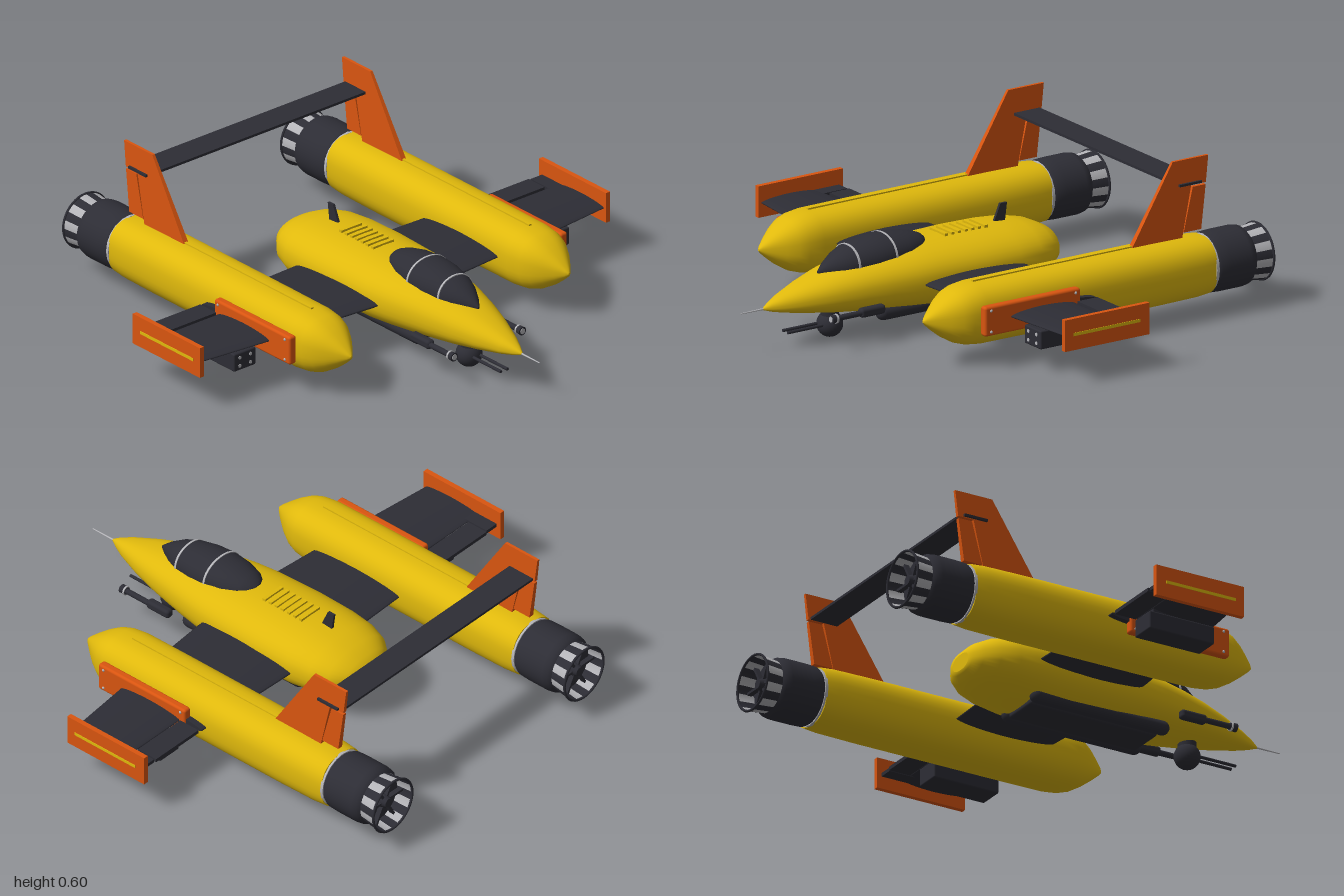
import * as THREE from 'three';
import { RoundedBoxGeometry } from 'three/addons/geometries/RoundedBoxGeometry.js';

const paint = (name, color, side = THREE.FrontSide) => {
  const m = new THREE.MeshStandardMaterial({ color, side });
  m.name = name;
  return m;
};

// Closed skin over superelliptic sections [z, cx, cy, halfWidth, top, bottom], ordered from +z to -z
function loft(stations, power = 2, n = 40) {
  const pos = [], idx = [];
  for (const [z, cx, cy, w, top, bottom] of stations) {
    for (let j = 0; j < n; j++) {
      const a = (j / n) * Math.PI * 2, c = Math.cos(a), s = Math.sin(a);
      const h = s > 0 ? top - cy : cy - bottom;
      pos.push(cx + w * Math.sign(c) * Math.abs(c) ** (2 / power),
        cy + h * Math.sign(s) * Math.abs(s) ** (2 / power), z);
    }
  }
  const last = stations.length - 1;
  for (let i = 0; i < last; i++) for (let j = 0; j < n; j++) {
    const k = (j + 1) % n, a = i * n + j, b = i * n + k;
    idx.push(a, a + n, b, a + n, b + n, b);
  }
  // flat end caps with their own vertices
  for (const [i, flip] of [[0, false], [last, true]]) {
    const base = pos.length / 3;
    pos.push(stations[i][1], stations[i][2], stations[i][0]);
    for (let j = 0; j < n; j++) pos.push(...pos.slice((i * n + j) * 3, (i * n + j) * 3 + 3));
    for (let j = 0; j < n; j++) {
      const a = base + 1 + j, b = base + 1 + (j + 1) % n;
      idx.push(base, flip ? b : a, flip ? a : b);
    }
  }
  const g = new THREE.BufferGeometry();
  g.setAttribute('position', new THREE.Float32BufferAttribute(pos, 3));
  g.setIndex(idx);
  g.computeVertexNormals();
  return g;
}

// Wing panel from rows [x, front z, rear z, half thickness]
function wingPanel(rows) {
  const sorted = [...rows].sort((a, b) => b[0] - a[0]);
  return loft(sorted.map(([x, f, r, t]) => [x, -(f + r) / 2, 0.19, (f - r) / 2, 0.19 + t, 0.19 - t]), 1.8, 32)
    .rotateY(Math.PI / 2);
}

// Vertical plate from [z, y] corners, thinning upwards
function finPlate(points) {
  const g = new THREE.ExtrudeGeometry(new THREE.Shape(points.map(p => new THREE.Vector2(...p))),
    { depth: 0.022, bevelEnabled: false });
  g.translate(0, 0, -0.011).rotateY(-Math.PI / 2);
  const p = g.attributes.position;
  for (let i = 0; i < p.count; i++) p.setX(i, p.getX(i) * (1 - 1.6 * (p.getY(i) - 0.3)));
  g.computeVertexNormals();
  return g;
}

export function createModel() {
  const model = new THREE.Group();
  const yellow = paint('yellow', 0xe0b90c);
  const orange = paint('orange', 0xd95510);
  const dark = paint('charcoal', 0x2d2d35, THREE.DoubleSide);
  const light = paint('lightGrey', 0xb4b4b8, THREE.DoubleSide);

  const add = (name, geo, mat, x = 0, y = 0, z = 0) => {
    const m = new THREE.Mesh(geo, mat);
    m.name = name;
    m.position.set(x, y, z);
    model.add(m);
    return m;
  };
  const box = (name, mat, w, h, d, x, y, z) => add(name, new THREE.BoxGeometry(w, h, d), mat, x, y, z);
  // cylinder along z; r1 at the rear, r2 at the front
  const rod = (name, mat, r1, r2, len, x, y, z) =>
    add(name, new THREE.CylinderGeometry(r1, r2, len, 20).rotateX(-Math.PI / 2), mat, x, y, z);

  // Fuselage
  add('fuselage', loft([
    [0.88, 0, 0.16, 0.004, 0.164, 0.156], [0.85, 0, 0.16, 0.022, 0.182, 0.146],
    [0.8, 0, 0.162, 0.047, 0.203, 0.135], [0.7, 0, 0.17, 0.086, 0.236, 0.119],
    [0.6, 0, 0.178, 0.117, 0.263, 0.105], [0.5, 0, 0.185, 0.142, 0.284, 0.094],
    [0.4, 0, 0.19, 0.164, 0.298, 0.085], [0.3, 0, 0.19, 0.181, 0.307, 0.077],
    [0.2, 0, 0.19, 0.192, 0.312, 0.07], [0, 0, 0.19, 0.2, 0.315, 0.066],
    [-0.15, 0, 0.19, 0.198, 0.312, 0.075], [-0.25, 0, 0.19, 0.187, 0.304, 0.09],
    [-0.32, 0, 0.192, 0.163, 0.288, 0.108], [-0.37, 0, 0.195, 0.122, 0.264, 0.13],
    [-0.395, 0, 0.197, 0.08, 0.24, 0.152], [-0.4, 0, 0.197, 0.055, 0.228, 0.165]], 2.35), yellow);
  rod('pitotTube', light, 0.004, 0.002, 0.12, 0, 0.16, 0.92);

  // Canopy with two frame hoops
  add('canopy', loft([
    [0.635, 0, 0.255, 0.004, 0.262, 0.25], [0.6, 0, 0.26, 0.032, 0.292, 0.25],
    [0.55, 0, 0.265, 0.062, 0.322, 0.25], [0.5, 0, 0.27, 0.082, 0.341, 0.25],
    [0.42, 0, 0.275, 0.097, 0.356, 0.25], [0.35, 0, 0.28, 0.1, 0.36, 0.25],
    [0.27, 0, 0.285, 0.091, 0.354, 0.25], [0.21, 0, 0.29, 0.071, 0.341, 0.25],
    [0.18, 0, 0.29, 0.05, 0.329, 0.25], [0.165, 0, 0.29, 0.025, 0.317, 0.25]], 2.1), dark);
  for (const [z, cy, w, top] of [[0.504, 0.27, 0.084, 0.343], [0.349, 0.28, 0.102, 0.362]])
    add('canopyFrame', loft([[z, 0, cy, w, top, 0.25], [z - 0.008, 0, cy, w, top, 0.25]], 2.1), light);

  // Dorsal grille and blade antenna
  for (let i = 0; i < 7; i++) box('grilleSlat', yellow, 0.1, 0.012, 0.014, 0, 0.315, 0.09 - i * 0.03);
  add('antenna', finPlate([[-0.155, 0.305], [-0.185, 0.375], [-0.215, 0.375], [-0.205, 0.305]]), dark)
    .scale.x = 0.5;

  // Chin turret with twin barrels
  add('turretBall', new THREE.SphereGeometry(0.05, 28, 18), dark, 0, 0.05, 0.58);
  rod('turretMount', dark, 0.035, 0.035, 0.04, 0, 0.1, 0.58).rotation.x = Math.PI / 2;
  for (const s of [-1, 1]) rod('turretBarrel', dark, 0.006, 0.006, 0.17, s * 0.016, 0.054, 0.695);

  // Belly bay
  add('bellyPanel', new RoundedBoxGeometry(0.16, 0.03, 0.55, 3, 0.012), dark, 0, 0.074, 0.13);

  // Wing centre section
  add('innerWing', wingPanel([[0.67, 0.238, -0.156, 0.019], [0.2, 0.278, -0.172, 0.025],
    [-0.2, 0.278, -0.172, 0.025], [-0.67, 0.238, -0.156, 0.019]]), dark);

  for (const s of [-1, 1]) {
    const bx = s * 0.53, by = 0.185;

    // Belly tube and cheek gun
    add('bellyTube', new THREE.CapsuleGeometry(0.028, 0.54, 6, 16).rotateX(Math.PI / 2), dark, s * 0.1, 0.086, 0.14);
    add('gunBody', new RoundedBoxGeometry(0.034, 0.036, 0.11, 3, 0.012), dark, s * 0.163, 0.128, 0.505);
    rod('gunBarrel', dark, 0.011, 0.011, 0.14, s * 0.166, 0.128, 0.61);
    rod('gunMuzzle', dark, 0.015, 0.017, 0.026, s * 0.166, 0.128, 0.677);
    rod('muzzleRing', light, 0.018, 0.018, 0.007, s * 0.166, 0.128, 0.668);
    rod('muzzleFace', light, 0.011, 0.011, 0.003, s * 0.166, 0.128, 0.691);

    // Boom
    add('boom', loft([[0.53, 0.004], [0.52, 0.016], [0.49, 0.042], [0.45, 0.073], [0.41, 0.097], [0.37, 0.11],
      [0.31, 0.117], [0.1, 0.118], [-0.5, 0.118], [-0.66, 0.116], [-0.72, 0.111]]
      .map(([z, r]) => [z, 0, by, r * 0.98, by + r, by - r]), 2.5).translate(bx, 0, 0), yellow);
    box('boomRidge', yellow, 0.012, 0.012, 0.72, bx, 0.302, -0.05);

    // Engine housing, nozzle petals and inner hub
    const turned = pts => new THREE.LatheGeometry(pts.map(p => new THREE.Vector2(...p)), 40).rotateX(-Math.PI / 2);
    rod('engineRing', light, 0.113, 0.113, 0.012, bx, by, -0.722);
    add('engineHousing', turned([[0.108, 0.728], [0.115, 0.74], [0.117, 0.78], [0.117, 0.87], [0.113, 0.893],
      [0.1, 0.905]]), dark, bx, by);
    const petals = 20;
    for (let i = 0; i < petals; i++)
      add('nozzlePetal', new THREE.CylinderGeometry(0.108, 0.1, 0.075, 2, 1, true, i / petals * Math.PI * 2,
        Math.PI * 2 / petals).rotateX(-Math.PI / 2), i % 2 ? light : dark, bx, by, -0.9375);
    add('nozzleRim', new THREE.TorusGeometry(0.108, 0.005, 8, 40), dark, bx, by, -0.975);
    rod('nozzleBack', dark, 0.1, 0.1, 0.01, bx, by, -0.903);
    rod('nozzleHub', dark, 0.018, 0.035, 0.05, bx, by, -0.93);
    for (let i = 0; i < 3; i++)
      box('nozzleVane', dark, 0.195, 0.01, 0.02, bx, by, -0.93).rotation.z = i * Math.PI / 3;

    // Tail fin with separate rudder
    add('tailFin', finPlate([[-0.4, 0.295], [-0.59, 0.6], [-0.75, 0.6], [-0.738, 0.497], [-0.672, 0.497],
      [-0.628, 0.295]]), orange, bx);
    add('rudder', finPlate([[-0.636, 0.32], [-0.679, 0.489], [-0.737, 0.489], [-0.715, 0.32]]), orange, bx);
    box('stabilizerCap', dark, 0.018, 0.009, 0.1, s * 0.538, 0.505, -0.665);

    // Root plate with rivets
    add('rootPlate', new RoundedBoxGeometry(0.034, 0.115, 0.43, 3, 0.01), orange, s * 0.66, 0.188, 0.137);
    for (const y of [0.147, 0.229]) for (const z of [0.325, -0.055])
      add('rivet', new THREE.SphereGeometry(0.006, 10, 8), light, s * 0.676, y, z);

    // Outer wing, aileron and tip plate
    add('outerWing', wingPanel([[s * 0.64, 0.241, -0.052, 0.019], [s * 0.985, 0.205, -0.052, 0.015]]), dark);
    box('aileron', dark, 0.235, 0.014, 0.09, s * 0.799, 0.19, -0.104);
    box('wingTrailingBlock', dark, 0.06, 0.014, 0.12, s * 0.952, 0.19, -0.084);
    box('tipPlate', orange, 0.02, 0.122, 0.38, s * 0.988, 0.195, 0.027);
    box('tipStripe', yellow, 0.004, 0.012, 0.3, s * 0.998, 0.195, 0.03);

    // Rocket pod
    box('podPylon', dark, 0.06, 0.04, 0.2, s * 0.763, 0.165, 0.05);
    add('rocketPod', new RoundedBoxGeometry(0.106, 0.072, 0.28, 2, 0.006), dark, s * 0.763, 0.127, 0.06);
    for (const dx of [-0.026, 0.026]) for (const dy of [-0.017, 0.017])
      rod('rocketTube', light, 0.007, 0.007, 0.004, s * 0.763 + dx, 0.127 + dy, 0.2);
  }

  // Stabilizer between the fins
  box('stabilizer', dark, 1.07, 0.01, 0.115, 0, 0.503, -0.672);

  return model;
}
